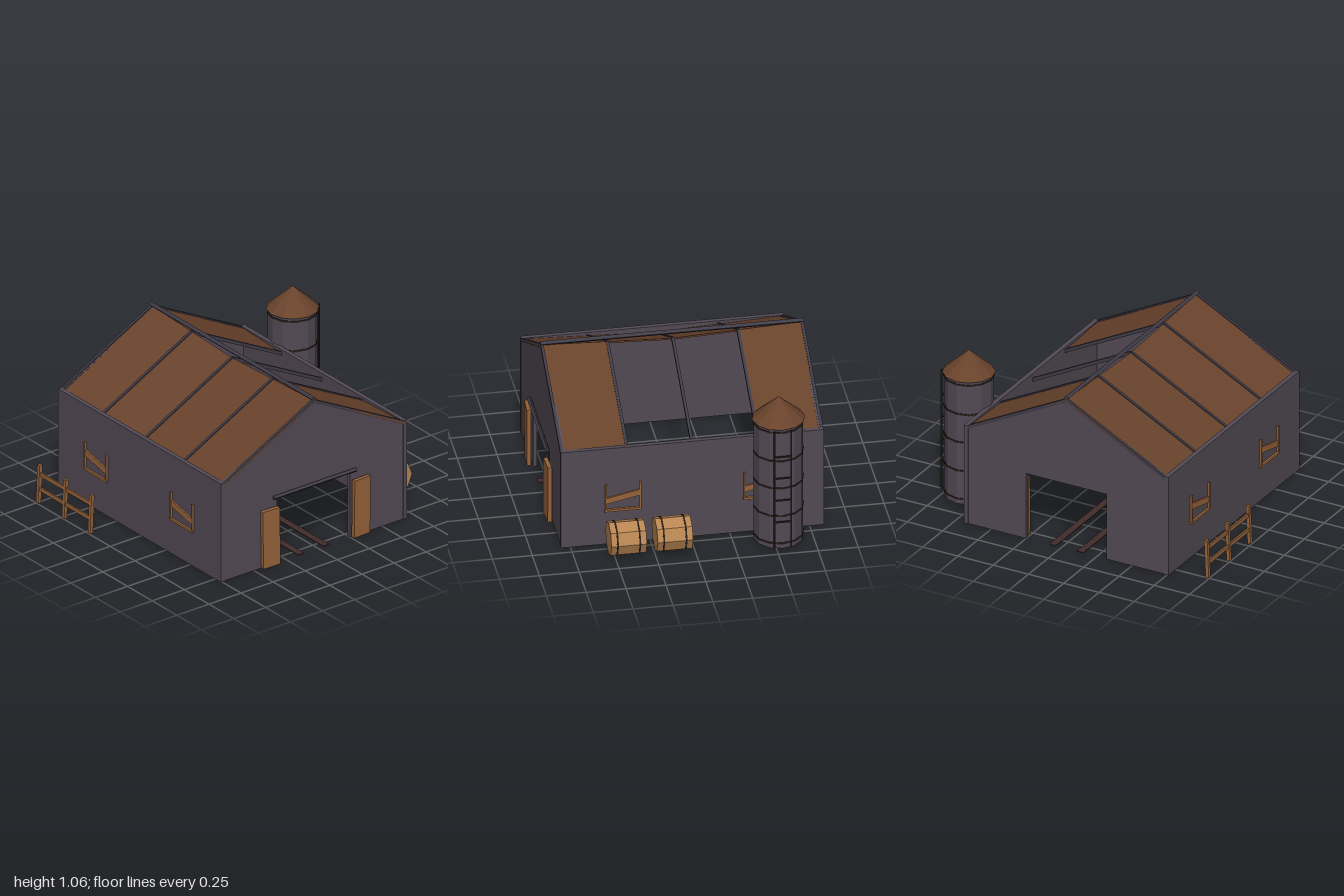
import * as THREE from 'three';

const mat = (name, color) => {
  const m = new THREE.MeshStandardMaterial({ color });
  m.name = name;
  m.flatShading = true;
  return m;
};

export function createModel() {
  const wall = mat('slate wall', 0x534a55);
  const beamMat = mat('dark beam', 0x3f3b47);
  const roof = mat('rust roof', 0x69432c);
  const wood = mat('warm wood', 0x96633a);
  const barrelWood = mat('pale barrel wood', 0xb98652);
  const band = mat('dark iron', 0x2b1f1d);
  const track = mat('track rust', 0x432c2c);

  const root = new THREE.Group();
  root.name = 'oldBarn';
  const group = (name) => {
    const g = new THREE.Group();
    g.name = name;
    root.add(g);
    return g;
  };
  const add = (parent, name, geo, material, x = 0, y = 0, z = 0) => {
    const m = new THREE.Mesh(geo, material);
    m.name = name;
    m.position.set(x, y, z);
    parent.add(m);
    return m;
  };
  const box = (parent, name, material, w, h, d, x, y, z) =>
    add(parent, name, new THREE.BoxGeometry(w, h, d), material, x, y, z);
  // Square bar running between two points
  const bar = (parent, name, material, a, b, w, h) => {
    const m = box(parent, name, material, w, h, a.distanceTo(b), 0, 0, 0);
    m.position.copy(a).add(b).multiplyScalar(0.5);
    m.lookAt(b);
    return m;
  };
  const V = (x, y, z) => new THREE.Vector3(x, y, z);

  const CX = -0.035, FRONT = 0.81, BACK = -0.84, LEN = FRONT - BACK, MID = (FRONT + BACK) / 2;

  // Gable walls with an open doorway
  const walls = group('walls');
  const s = new THREE.Shape();
  [[-0.745, 0], [-0.32, 0], [-0.32, 0.45], [0.25, 0.45], [0.25, 0], [0.675, 0],
    [0.675, 0.67], [CX, 1.03], [-0.745, 0.67]]
    .forEach(([x, y], i) => (i ? s.lineTo(x, y) : s.moveTo(x, y)));
  const gable = new THREE.ExtrudeGeometry(s, { depth: 0.025, bevelEnabled: false });
  add(walls, 'frontWall', gable, wall, 0, 0, FRONT - 0.03);
  add(walls, 'backWall', gable, wall, 0, 0, BACK + 0.005);
  for (const side of [-1, 1])
    box(walls, 'sideWall', wall, 0.03, 0.68, LEN, CX + side * 0.71, 0.34, MID);

  // Sagging roof: t runs from the ridge (0) to the eave (1)
  const roofGroup = group('roof');
  const roofPoint = (side, t, z, lift = 0) => {
    const sag = 0.035 * (1 - Math.abs(z - MID) / (LEN / 2));
    return V(CX + side * 0.705 * t, 1.035 - 0.365 * t - sag + lift, z);
  };
  const stations = [FRONT, 0.39, -0.02, -0.43, BACK];
  const panel = (side, z0, z1) => {
    const geo = new THREE.BoxGeometry(1, 1, 1);
    const p = geo.attributes.position;
    for (let i = 0; i < p.count; i++) {
      const t = side > 0 ? p.getX(i) + 0.5 : 0.5 - p.getX(i);
      const v = roofPoint(side, t, p.getZ(i) > 0 ? z0 : z1, p.getY(i) > 0 ? 0 : -0.012);
      p.setXYZ(i, v.x, v.y, v.z);
    }
    geo.computeVertexNormals();
    add(roofGroup, 'roofPanel', geo, roof);
  };
  for (let i = 0; i < 4; i++) {
    panel(-1, stations[i], stations[i + 1]);
    if (i === 0 || i === 3) panel(1, stations[i], stations[i + 1]); // two bays stay open
  }
  for (const side of [-1, 1])
    stations.forEach((z, i) => {
      const zz = i === 0 ? z - 0.009 : i === 4 ? z + 0.009 : z;
      bar(roofGroup, 'rafter', beamMat, roofPoint(side, 0, zz, -0.004),
        roofPoint(side, 1, zz, -0.004), 0.018, 0.022);
    });
  box(roofGroup, 'ridgeBeam', beamMat, 0.023, 0.023, LEN, CX, 1.046, MID).rotation.z = Math.PI / 4;

  // Sliding doors and their rails; the rear pair hangs inside
  const doors = group('doors');
  for (const z of [FRONT + 0.015, BACK + 0.047]) {
    box(doors, 'doorRail', beamMat, 0.64, 0.02, 0.02, -0.04, 0.468, z).rotation.x = Math.PI / 4;
    for (const side of [-1, 1]) {
      const d = box(doors, 'slidingDoor', wood, 0.128, 0.392, 0.026, CX + side * 0.353, 0.204, z + 0.003);
      d.rotation.set(0, side * 0.05, side < 0 ? 0.018 : -0.01);
    }
  }

  // Boarded window frames
  const windows = group('windows');
  for (const side of [-1, 1])
    for (const z of [0.42, -0.45]) {
      const x = CX + side * 0.73;
      for (const e of [-1, 1])
        box(windows, 'windowPost', wood, 0.018, 0.185, 0.012, x, 0.335, z + e * 0.108);
      box(windows, 'windowSill', wood, 0.02, 0.015, 0.235, x, 0.243, z);
      bar(windows, 'windowBoard', wood, V(x, 0.31, z + 0.105), V(x, 0.355, z - 0.105), 0.012, 0.04);
    }

  // Ground tracks
  const tracks = group('tracks');
  for (const x of [-0.135, 0.06])
    box(tracks, 'track', track, 0.046, 0.006, LEN, x, 0.004, MID);

  // Silo with hoops and ladder
  const silo = group('silo');
  silo.position.set(0.828, 0, -0.53);
  add(silo, 'siloBody', new THREE.CylinderGeometry(0.155, 0.155, 0.85, 12), wall, 0, 0.455, 0);
  add(silo, 'siloRoof', new THREE.ConeGeometry(0.166, 0.15, 12), roof, 0, 0.955, 0);
  for (const y of [0.065, 0.26, 0.458, 0.652, 0.855])
    add(silo, 'siloHoop', new THREE.CylinderGeometry(0.159, 0.159, 0.011, 12), band, 0, y, 0);
  for (const z of [0.053, -0.051])
    box(silo, 'ladderRail', band, 0.01, 0.83, 0.01, 0.165, 0.46, z);
  for (const y of [0.225, 0.38, 0.537, 0.69])
    box(silo, 'ladderRung', band, 0.008, 0.009, 0.104, 0.165, y, 0.001);

  // Barrels lying on their sides
  const barrels = group('barrels');
  const drum = (name, r, len, material, z) =>
    add(barrels, name, new THREE.CylinderGeometry(r, r, len, 8).rotateX(Math.PI / 2), material, 0.83, 0.122, z);
  for (const z of [0.135, 0.425]) {
    drum('barrel', 0.11, 0.222, barrelWood, z);
    for (const e of [-1, 1]) drum('barrelHoop', 0.113, 0.01, band, z + e * 0.07);
  }

  // Leaning fence section
  const fence = group('fence');
  fence.position.set(-0.988, 0, -0.48);
  fence.rotation.z = -0.045;
  for (const z of [-0.263, 0, 0.263])
    box(fence, 'fencePost', wood, 0.022, 0.26, 0.024, 0, 0.132, z);
  for (const y of [0.1, 0.2])
    box(fence, 'fenceRail', wood, 0.012, 0.024, 0.53, 0, y, 0);

  return root;
}
